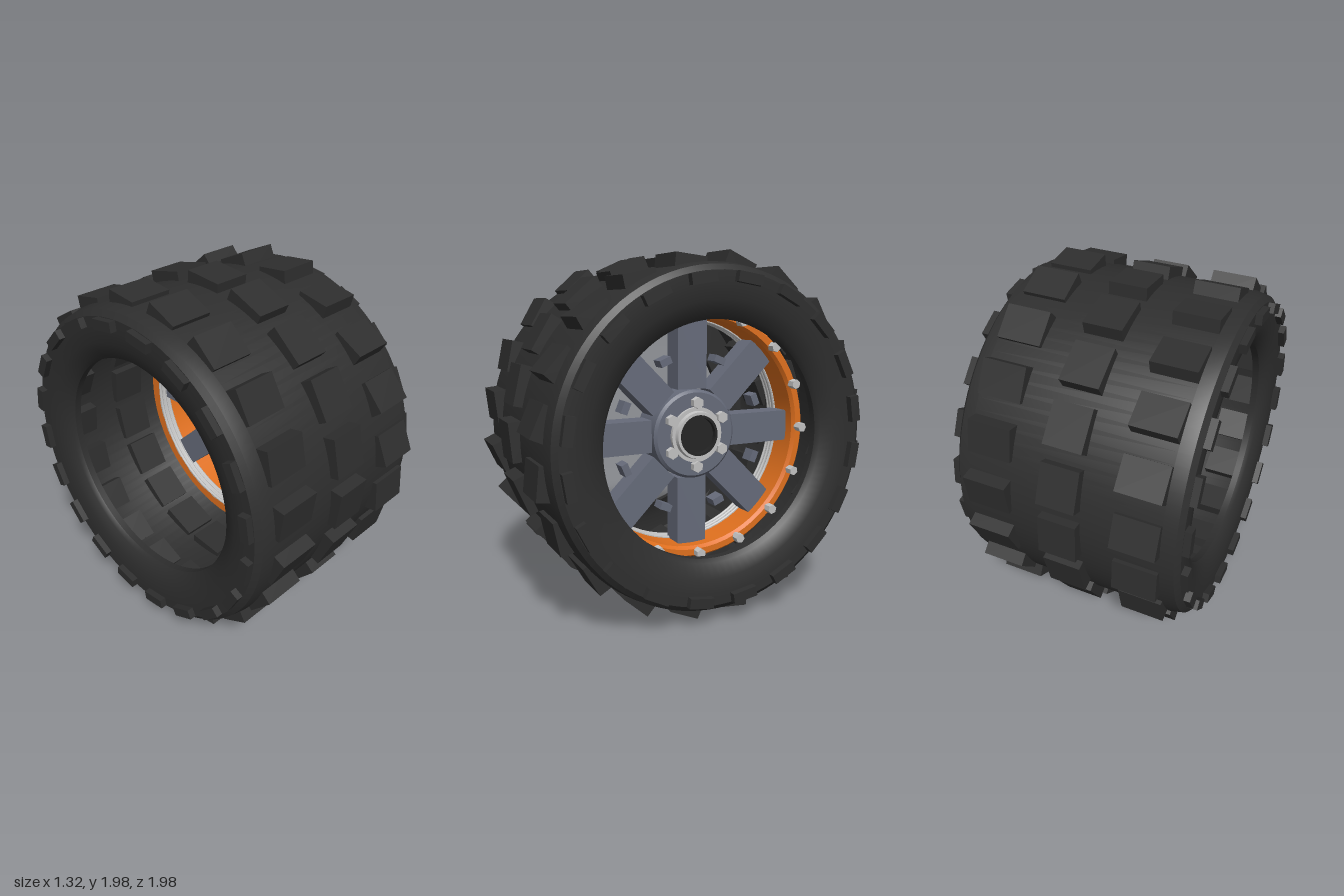
import * as THREE from 'three';
import { toCreasedNormals } from 'three/addons/utils/BufferGeometryUtils.js';

const DEG = Math.PI / 180;

function material(name, color) {
  const m = new THREE.MeshStandardMaterial({ color });
  m.name = name;
  return m;
}

export function createModel() {
  const rubber = material('black rubber', 0x2e2e2e);
  const bore = material('dark bore', 0x242424);
  const steel = material('blue grey steel', 0x666b7a);
  const silver = material('silver', 0xc2c2c2);
  const orange = material('orange', 0xe0701e);

  // The wheel turns about the x axis, at height 1
  const wheel = new THREE.Group();
  wheel.name = 'wheel';
  wheel.position.y = 1;

  function add(geometry, mat, name, parent = wheel) {
    const mesh = new THREE.Mesh(geometry, mat);
    mesh.name = name;
    parent.add(mesh);
    return mesh;
  }

  // Ring about x from a closed profile of [radius, x] points
  function ring(profile, mat, name, segments = 64) {
    const pts = [...profile, profile[0]].map(([r, x]) => new THREE.Vector2(r, x));
    const geo = new THREE.LatheGeometry(pts, segments).rotateZ(-Math.PI / 2);
    return add(toCreasedNormals(geo, 32 * DEG), mat, name);
  }

  // Square-section ring
  const band = (r0, r1, x0, x1, mat, name) =>
    ring([[r0, x0], [r1, x0], [r1, x1], [r0, x1]], mat, name);

  // Copies of one part around the axis; angle runs from +z towards +y
  function around(count, start, radius, x, geometry, mat, name, tilt = 0) {
    const group = new THREE.Group();
    group.name = name + 's';
    for (let i = 0; i < count; i++) {
      const a = start * DEG + (i / count) * Math.PI * 2;
      const mesh = add(geometry, mat, name, group);
      mesh.position.set(x, radius * Math.sin(a), radius * Math.cos(a));
      mesh.rotation.x = -(a + tilt * DEG);
    }
    wheel.add(group);
  }

  // Hollow tyre: outer half profile mirrored, then the inner wall
  const outer = [[0.64, 0.52], [0.64, 0.56], [0.66, 0.585], [0.74, 0.615], [0.82, 0.625],
    [0.885, 0.625], [0.915, 0.6], [0.93, 0.53]];
  const inner = [[0.88, 0.5], [0.85, 0.56], [0.74, 0.56], [0.66, 0.53]];
  ring([
    ...outer.map(([r, x]) => [r, -x]),
    ...outer.slice().reverse(),
    ...inner.slice().reverse(),
    ...inner.map(([r, x]) => [r, -x]),
  ], rubber, 'tyre', 96);

  // Three staggered rows of tilted tread blocks, deep enough to pass the wall
  const sideBlock = new THREE.BoxGeometry(0.24, 0.18, 0.14);
  const midBlock = new THREE.BoxGeometry(0.21, 0.22, 0.15);
  around(20, 9, 0.903, 0.405, sideBlock, rubber, 'leftTreadBlock', 15);
  around(20, 0, 0.908, 0, midBlock, rubber, 'middleTreadBlock', -5);
  around(20, 9, 0.903, -0.41, sideBlock, rubber, 'rightTreadBlock', -15);

  // Sidewall lugs
  const lug = new THREE.BoxGeometry(0.07, 0.145, 0.055);
  for (const side of [1, -1]) around(20, 9, 0.853, side * 0.627, lug, rubber, 'sidewallLug');

  // Orange rim with silver beads and a ring of hex bolts
  ring([[0.64, 0.1], [0.7, 0.1], [0.7, 0.35], [0.69, 0.36], [0.655, 0.36], [0.64, 0.34]],
    orange, 'rim');
  band(0.634, 0.645, 0.1, 0.18, silver, 'rimLiner');
  for (const x of [0.11, 0.14, 0.17]) {
    const bead = add(new THREE.TorusGeometry(0.638, 0.01, 8, 64), silver, 'rimBead');
    bead.rotation.y = Math.PI / 2;
    bead.position.x = x;
  }
  const hex = (r, length) =>
    toCreasedNormals(new THREE.CylinderGeometry(r, r, length, 6).rotateZ(-Math.PI / 2), 0.3);
  around(16, 0, 0.672, 0.38, hex(0.028, 0.05), silver, 'rimBolt');

  // Eight spokes, with small blocks between them
  around(8, 0, 0.445, 0.22, new THREE.BoxGeometry(0.13, 0.18, 0.39), steel, 'spoke');
  around(8, 22.5, 0.44, 0.26, new THREE.BoxGeometry(0.08, 0.068, 0.04), steel, 'spacerBlock');

  // Hub disc, collar, bore and bolts
  ring([[0.11, 0.1], [0.25, 0.1], [0.25, 0.31], [0.235, 0.325], [0.11, 0.325]], steel, 'hub');
  ring([[0.11, 0.3], [0.155, 0.3], [0.155, 0.345], [0.135, 0.345], [0.13, 0.37], [0.11, 0.37]],
    silver, 'hubCollar', 48);
  const boreCap = add(new THREE.CylinderGeometry(0.112, 0.112, 0.245, 40), bore, 'hubBore');
  boreCap.rotation.z = -Math.PI / 2;
  boreCap.position.x = 0.2225;
  band(0.1, 0.114, 0.3, 0.374, bore, 'boreLip');
  around(6, 30, 0.18, 0.34, hex(0.033, 0.04), silver, 'hubBolt');

  const model = new THREE.Group();
  model.name = 'offRoadWheel';
  model.add(wheel);
  return model;
}
